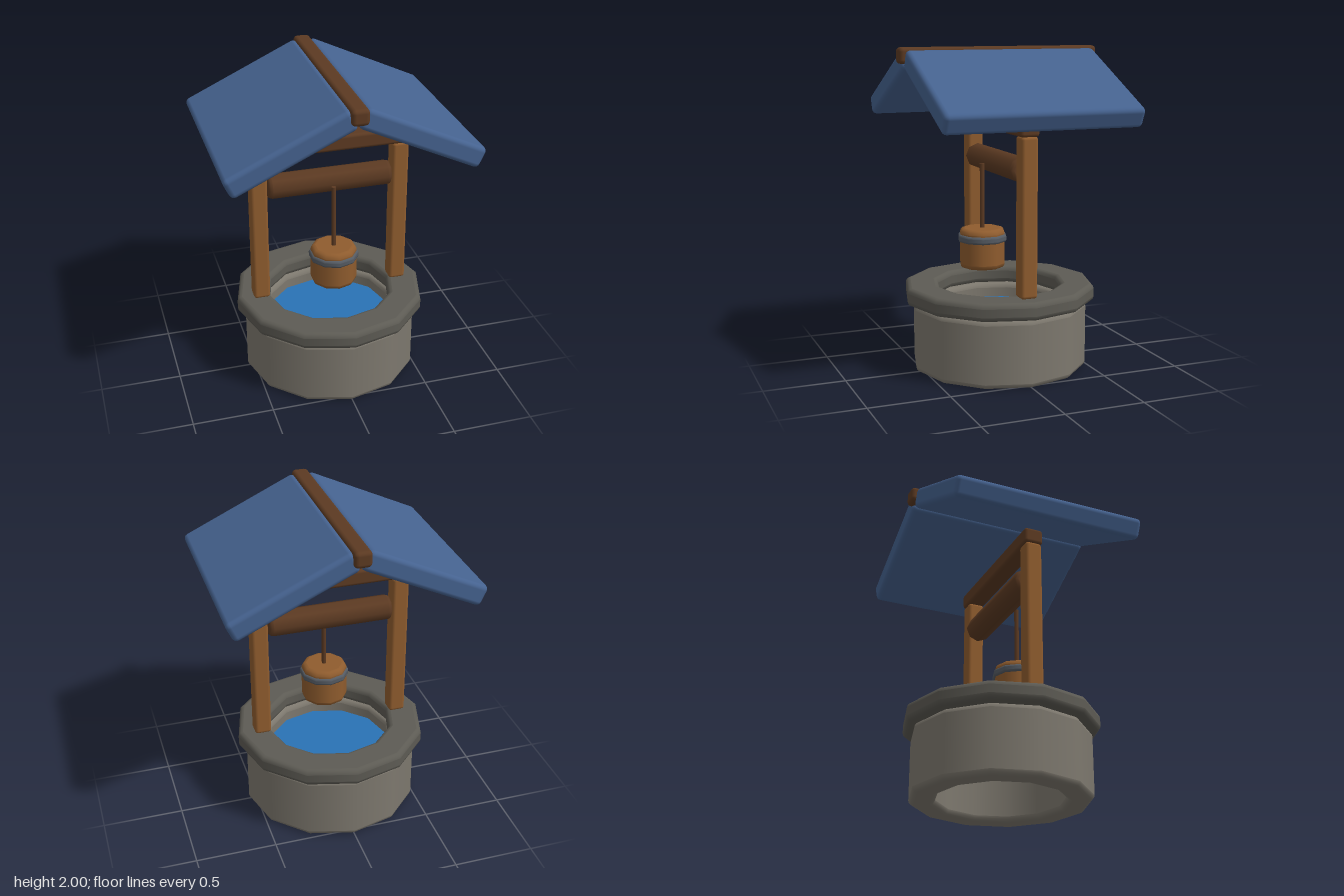
import * as THREE from 'three';
import { RoundedBoxGeometry } from 'three/addons/geometries/RoundedBoxGeometry.js';

const mat = (color) => new THREE.MeshStandardMaterial({ color });
const STONE = mat(0x7d786e), RIM = mat(0x5d5b54), WOOD = mat(0x8f5c2e), DARK = mat(0x5c3a22);
const ROOF = mat(0x45628f), WATER = mat(0x2a72b5), METAL = mat(0x555b63);

// Rounded corner of a profile: quarter arc around (cx, cy), with a support point at each end
function arc(cx, cy, r, start) {
  const pts = [];
  for (const t of [0, 0.02, 0.33, 0.67, 0.98, 1]) {
    const a = start + t * Math.PI / 2;
    pts.push(new THREE.Vector2(cx + r * Math.cos(a), cy + r * Math.sin(a)));
  }
  return pts;
}

// Turned solid with softened edges; inner > 0 makes it a ring
function turned(outer, inner, y0, y1, bevel, sides) {
  const H = Math.PI / 2, o = outer - bevel, b = y0 + bevel, t = y1 - bevel;
  const pts = [...arc(o, b, bevel, -H), ...arc(o, t, bevel, 0)];
  if (inner > 0) {
    const i = inner + bevel;
    pts.push(...arc(i, t, bevel, H), ...arc(i, b, bevel, 2 * H), pts[0].clone());
  } else {
    pts.unshift(new THREE.Vector2(0, y0));
    pts.push(new THREE.Vector2(0, y1));
  }
  return new THREE.LatheGeometry(pts, sides);
}

export function createModel() {
  const well = new THREE.Group();
  well.name = 'well';
  const add = (name, geometry, material, x = 0, y = 0, z = 0, parent = well) => {
    const mesh = new THREE.Mesh(geometry, material);
    mesh.name = name;
    mesh.position.set(x, y, z);
    parent.add(mesh);
    return mesh;
  };
  const block = (w, h, d, r) => new RoundedBoxGeometry(w, h, d, 2, r);

  // Stone basin, open below, with a water disc inside
  add('stoneWall', turned(0.55, 0.39, 0, 0.42, 0.03, 12), STONE);
  add('stoneRim', turned(0.6, 0.39, 0.425, 0.535, 0.03, 12), RIM);
  add('water', new THREE.CylinderGeometry(0.4, 0.4, 0.05, 12), WATER, 0, 0.305);

  // Posts and roof slabs, mirrored left and right
  for (const [side, s] of [['left', 1], ['right', -1]]) {
    add(side + 'Post', block(0.105, 0.965, 0.105, 0.02), WOOD, s * 0.447, 1.015);
    add(side + 'RoofSlab', block(0.79, 0.13, 1.22, 0.03), ROOF, s * 0.382, 1.767)
      .rotation.z = -s * THREE.MathUtils.degToRad(25);
  }
  add('crossBeam', block(1, 0.1, 0.12, 0.02), DARK, 0, 1.543);
  add('roofRidge', block(0.104, 0.098, 1.28, 0.025), DARK, 0, 1.951);

  // Windlass roller lying between the posts
  add('roller', turned(0.08, 0, -0.39, 0.39, 0.025, 8), DARK, 0, 1.288).rotation.z = Math.PI / 2;

  // Bucket hanging in front of the roller
  const bucket = new THREE.Group();
  bucket.name = 'hangingBucket';
  bucket.position.z = 0.11;
  well.add(bucket);
  add('rope', new THREE.CylinderGeometry(0.015, 0.015, 0.42, 8), DARK, 0, 1.077, 0, bucket);
  add('bucketBody', turned(0.144, 0, 0.635, 0.885, 0.03, 10), WOOD, 0, 0, 0, bucket);
  add('bucketBand', turned(0.155, 0.12, 0.8, 0.848, 0.014, 10), METAL, 0, 0, 0, bucket);

  return well;
}
